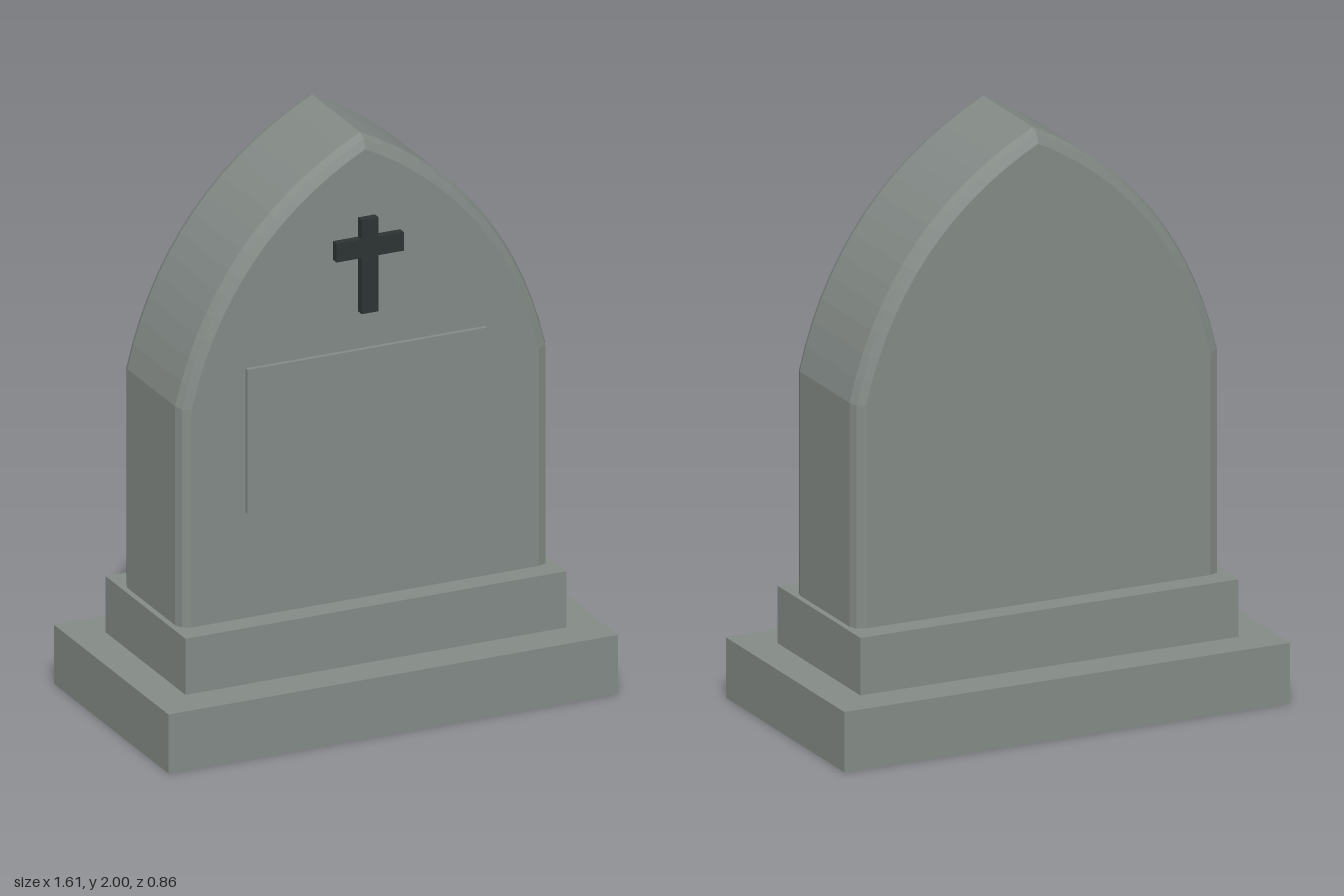
import * as THREE from 'three';

export function createModel() {
  const model = new THREE.Group();
  model.name = 'gravestone';

  const stone = new THREE.MeshStandardMaterial({ color: 0x848b87 });
  stone.name = 'grey stone';
  const iron = new THREE.MeshStandardMaterial({ color: 0x2d3534 });
  iron.name = 'dark iron';

  const add = (name, geometry, material) => {
    const mesh = new THREE.Mesh(geometry, material);
    mesh.name = name;
    model.add(mesh);
    return mesh;
  };

  // Box given by its width, bottom, top, back and front
  const block = (name, width, y0, y1, z0, z1, material = stone) => {
    const mesh = add(name, new THREE.BoxGeometry(width, y1 - y0, z1 - z0), material);
    mesh.position.set(0, (y0 + y1) / 2, (z0 + z1) / 2);
    return mesh;
  };

  // Stepped base
  block('lowerPlinth', 1.605, 0, 0.205, -0.43, 0.43);
  block('upperPlinth', 1.36, 0.205, 0.4, -0.3, 0.3);

  // Pointed-arch slab with bevelled edges, its foot set into the base
  const bevel = 0.04;
  const halfDepth = 0.22;
  const arch = new THREE.Shape();
  arch.moveTo(-0.66, 0.34);
  arch.lineTo(0.66, 0.34);
  arch.lineTo(0.66, 1.16);
  arch.quadraticCurveTo(0.52, 1.745, 0, 2);
  arch.quadraticCurveTo(-0.52, 1.745, -0.66, 1.16);
  arch.closePath();
  const slab = new THREE.ExtrudeGeometry(arch, {
    depth: 2 * (halfDepth - bevel),
    bevelEnabled: true,
    bevelThickness: bevel,
    bevelSize: bevel,
    bevelOffset: -bevel,
    bevelSegments: 2,
    curveSegments: 14,
  });
  slab.translate(0, 0, bevel - halfDepth);
  add('archedSlab', slab, stone);

  // Raised inscription panel
  block('inscriptionPanel', 0.854, 0.767, 1.267, 0.21, 0.235);

  // Cross, standing just proud of the slab
  const cross = new THREE.Shape([
    [-0.03, 1.4], [0.03, 1.4], [0.03, 1.595], [0.12, 1.595],
    [0.12, 1.66], [0.03, 1.66], [0.03, 1.727], [-0.03, 1.727],
    [-0.03, 1.66], [-0.12, 1.66], [-0.12, 1.595], [-0.03, 1.595],
  ].map(([x, y]) => new THREE.Vector2(x, y)));
  const crossGeometry = new THREE.ExtrudeGeometry(cross, { depth: 0.027, bevelEnabled: false });
  add('cross', crossGeometry, iron).position.z = 0.23;

  return model;
}
